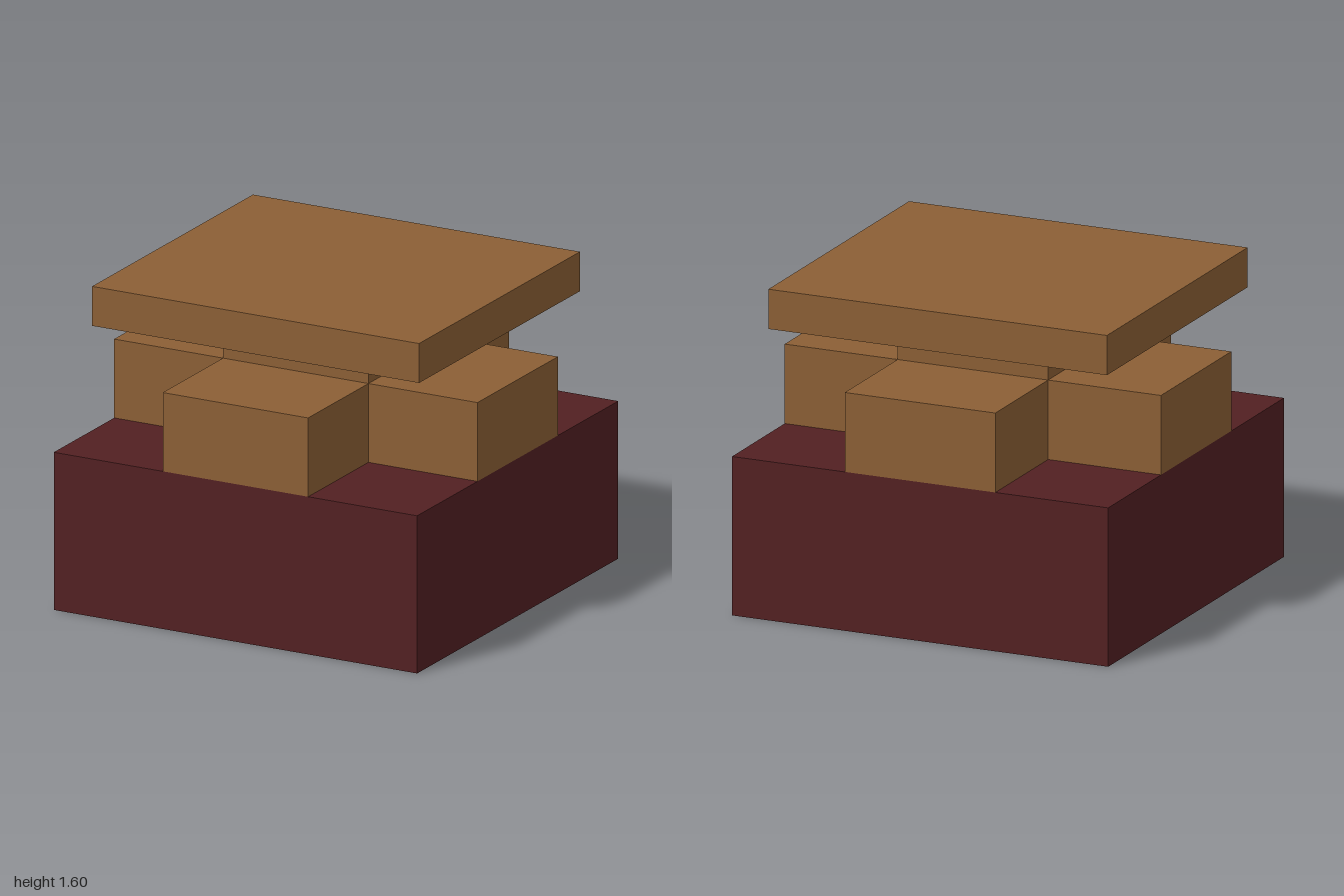
import * as THREE from 'three';

export function createModel() {
  const group = new THREE.Group();
  const wood = new THREE.MeshStandardMaterial({ color: 0x8b5f35 });
  wood.name = 'brown wood';
  const maroon = new THREE.MeshStandardMaterial({ color: 0x522022 });
  maroon.name = 'dark maroon';

  // Box standing on height y
  function addBox(name, material, w, h, d, x, y, z) {
    const mesh = new THREE.Mesh(new THREE.BoxGeometry(w, h, d), material);
    mesh.name = name;
    mesh.position.set(x, y + h / 2, z);
    group.add(mesh);
  }

  // Base block, central post and overhanging top slab
  addBox('base', maroon, 2, 0.8, 2, 0, 0, 0);
  addBox('post', wood, 0.8, 0.6, 0.8, 0, 0.8, 0);
  addBox('topSlab', wood, 1.8, 0.2, 1.6, 0, 1.4, 0);

  // Four arms of the cross, flush with the base edges
  for (const [side, s] of [['Left', 1], ['Right', -1]]) {
    addBox('arm' + side, wood, 0.6, 0.4, 0.8, 0.7 * s, 0.8, 0);
  }
  for (const [side, s] of [['Front', 1], ['Back', -1]]) {
    addBox('arm' + side, wood, 0.8, 0.4, 0.6, 0, 0.8, 0.7 * s);
  }

  return group;
}
